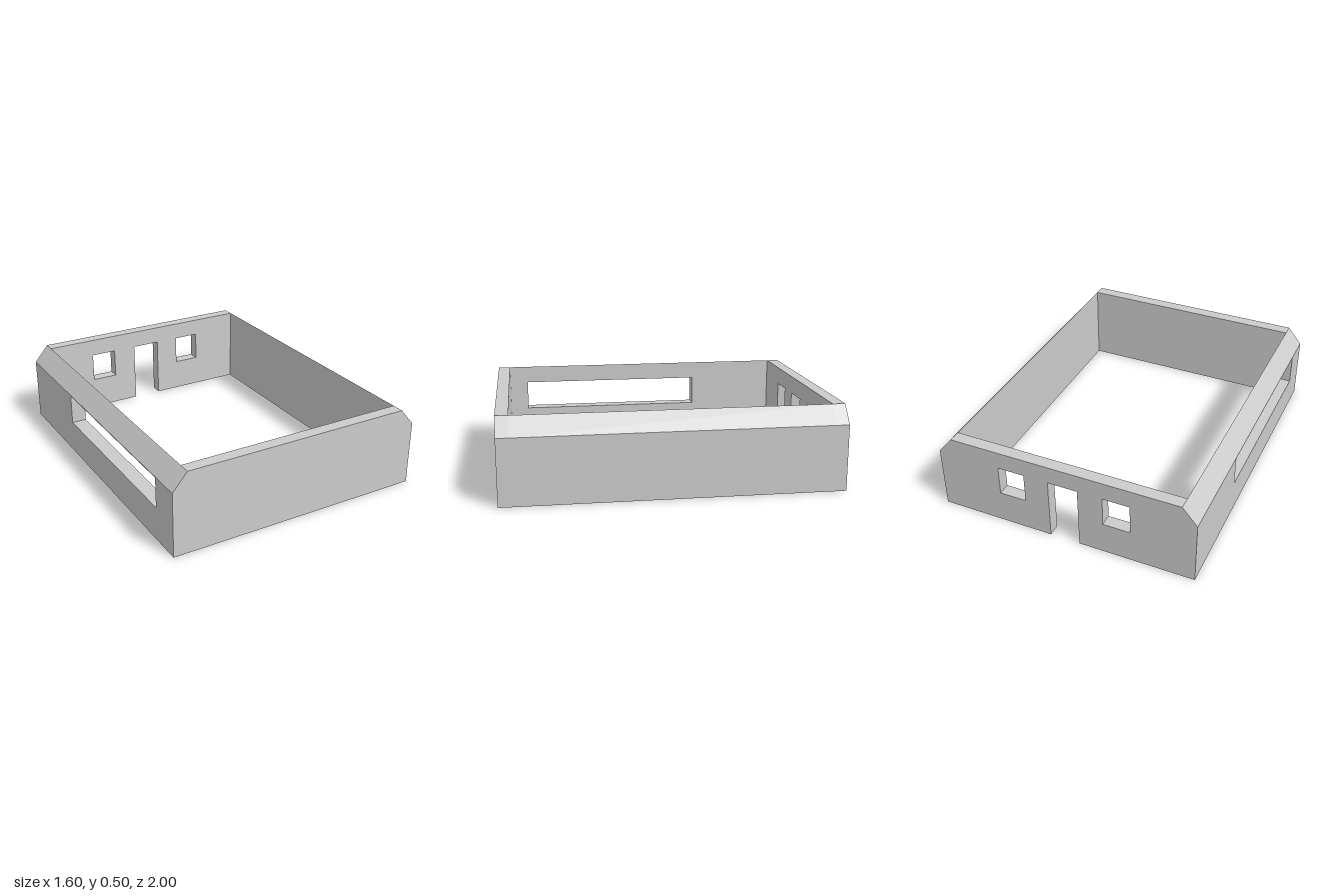
import * as THREE from 'three';

const W = 0.8, L = 1, H = 0.5, EAVE = 0.395; // half width, half length, height, eave height
const INX = 0.71, INZ = 0.925;               // inner faces of the walls
const SILL = 0.205, HEAD = 0.39;             // window and door heights

const poly = (pts) => new THREE.Shape(pts.map(([x, y]) => new THREE.Vector2(x, y)));
const opening = (a, b) => new THREE.Path(
  [[a, SILL], [a, HEAD], [b, HEAD], [b, SILL]].map(([x, y]) => new THREE.Vector2(x, y)));
const extrude = (shape, depth) => new THREE.ExtrudeGeometry(shape, { depth, bevelEnabled: false });

export function createModel() {
  const group = new THREE.Group();
  const material = new THREE.MeshStandardMaterial({ color: 0xcccccc, flatShading: true });
  const add = (name, geometry) => {
    const mesh = new THREE.Mesh(geometry, material);
    mesh.name = name;
    group.add(mesh);
  };

  // end walls with clipped top corners
  const roofline = [[W, 0], [W, EAVE], [INX, H], [-INX, H], [-W, EAVE], [-W, 0]];
  add('frontWall', extrude(poly(roofline), L - INZ).translate(0, 0, INZ));

  // back wall with a doorway and a window on each side of it
  const door = 0.092;
  const back = poly([...roofline, [-door, 0], [-door, HEAD], [door, HEAD], [door, 0]]);
  back.holes.push(opening(0.245, 0.41), opening(-0.41, -0.245));
  add('backWall', extrude(back, L - INZ).translate(0, 0, -L));

  // side walls, each topped with a sloping wedge
  for (const [side, s] of [['left', 1], ['right', -1]]) {
    const wall = poly([[-INZ, 0], [INZ, 0], [INZ, EAVE], [-INZ, EAVE]]);
    if (s < 0) wall.holes.push(opening(-0.37, 0.805)); // long window
    add(side + 'Wall', extrude(wall, W - INX).rotateY(-Math.PI / 2).translate(s > 0 ? W : -INX, 0, 0));

    const wedge = poly([[s * INX, EAVE], [s * W, EAVE], [s * INX, H]]);
    add(side + 'Slope', extrude(wedge, 2 * INZ).translate(0, 0, -INZ));
  }
  return group;
}
